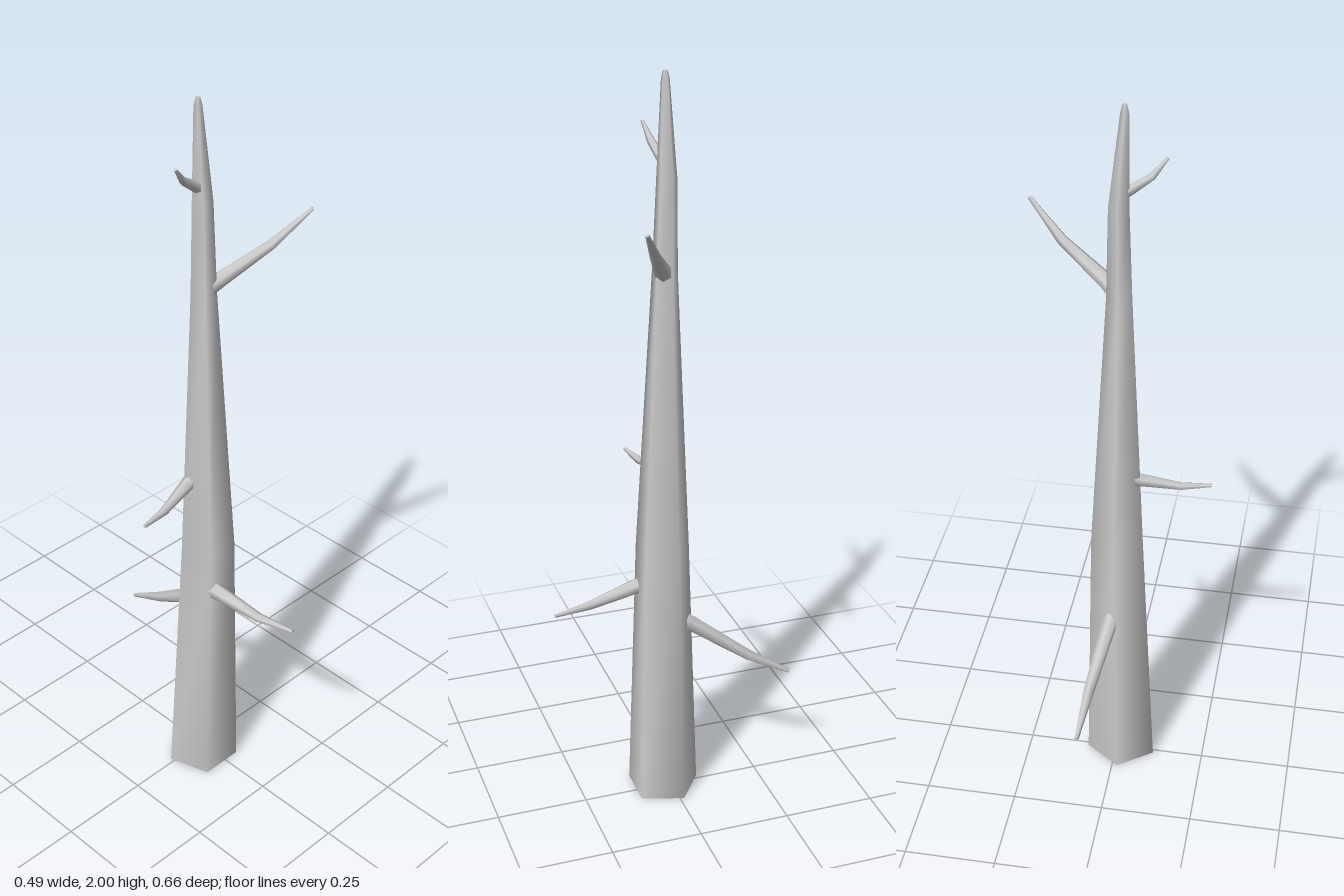
import * as THREE from 'three';

const material = new THREE.MeshStandardMaterial({ color: 0xcccccc });

// Smooth tapered tube through rings given as { centre, u, v, r }, with flat end caps.
function loft(rings, sides) {
  const pos = [], index = [];
  const point = (ring, j) => {
    const a = (j / sides) * Math.PI * 2;
    return ring.centre.clone()
      .addScaledVector(ring.u, Math.sin(a) * ring.r)
      .addScaledVector(ring.v, Math.cos(a) * ring.r);
  };
  rings.forEach((ring, i) => {
    for (let j = 0; j < sides; j++) {
      pos.push(...point(ring, j).toArray());
      if (i === rings.length - 1) continue;
      const a = i * sides + j, b = i * sides + (j + 1) % sides;
      index.push(a, b, b + sides, a, b + sides, a + sides);
    }
  });
  // caps have their own vertices so that their edges stay sharp
  [rings[0], rings[rings.length - 1]].forEach((ring, end) => {
    const base = pos.length / 3;
    for (let j = 0; j < sides; j++) pos.push(...point(ring, j).toArray());
    for (let j = 1; j < sides - 1; j++) {
      if (end) index.push(base, base + j, base + j + 1);
      else index.push(base, base + j + 1, base + j);
    }
  });
  const geometry = new THREE.BufferGeometry();
  geometry.setAttribute('position', new THREE.Float32BufferAttribute(pos, 3));
  geometry.setIndex(index);
  geometry.computeVertexNormals();
  return geometry;
}

// Trunk rings: height, centre x, centre z, radius
const TRUNK = [
  [0, -0.014, 0.02, 0.1],
  [0.75, -0.001, 0.024, 0.074],
  [1.5, -0.006, 0.014, 0.034],
  [1.74, -0.005, 0.009, 0.027],
  [1.98, -0.018, 0.008, 0.011],
  [2, -0.018, 0.008, 0.006],
];

// Branch points: x, y, z, radius
const BRANCHES = {
  frontBranch: [[-0.035, 0.635, 0.05, 0.024], [-0.029, 0.63, 0.09, 0.022],
    [-0.008, 0.607, 0.225, 0.013], [0.016, 0.606, 0.326, 0.005]],
  backBranch: [[0.003, 0.53, -0.02, 0.024], [0.01, 0.515, -0.05, 0.022],
    [0.04, 0.4, -0.21, 0.015], [0.052, 0.333, -0.327, 0.006]],
  rightBranch: [[-0.03, 0.965, 0.006, 0.021], [-0.065, 0.956, 0.013, 0.018],
    [-0.165, 0.934, 0.034, 0.011], [-0.245, 0.936, 0.048, 0.005]],
  leftBranch: [[0.005, 1.508, 0.02, 0.024], [0.03, 1.525, 0.034, 0.021],
    [0.15, 1.598, 0.09, 0.014], [0.24, 1.682, 0.14, 0.005]],
  topTwig: [[-0.012, 1.775, 0.01, 0.016], [-0.03, 1.785, 0.012, 0.014],
    [-0.08, 1.818, 0.024, 0.01], [-0.115, 1.862, 0.035, 0.004]],
};

function branchGeometry(rows) {
  const points = rows.map(([x, y, z]) => new THREE.Vector3(x, y, z));
  const up = new THREE.Vector3(0, 1, 0);
  const rings = points.map((centre, i) => {
    const dir = points[Math.min(i + 1, points.length - 1)].clone()
      .sub(points[Math.max(i - 1, 0)]).normalize();
    const u = new THREE.Vector3().crossVectors(up, dir).normalize();
    const v = new THREE.Vector3().crossVectors(u, dir).normalize();
    return { centre, u, v, r: rows[i][3] };
  });
  // u x v points against the direction of growth, so flip v to face outward
  rings.forEach((ring) => ring.v.negate());
  rings.forEach((ring) => ring.u.negate());
  return loft(rings, 6);
}

export function createModel() {
  const model = new THREE.Group();
  model.name = 'bareTree';
  const add = (name, geometry) => {
    const mesh = new THREE.Mesh(geometry, material);
    mesh.name = name;
    model.add(mesh);
  };

  // Five-sided trunk with one corner to the back
  const u = new THREE.Vector3(-1, 0, 0), v = new THREE.Vector3(0, 0, -1);
  add('trunk', loft(TRUNK.map(([y, x, z, r]) => ({ centre: new THREE.Vector3(x, y, z), u, v, r })), 5));

  // Bent, tapering dead branches
  for (const [name, rows] of Object.entries(BRANCHES)) add(name, branchGeometry(rows));
  return model;
}
